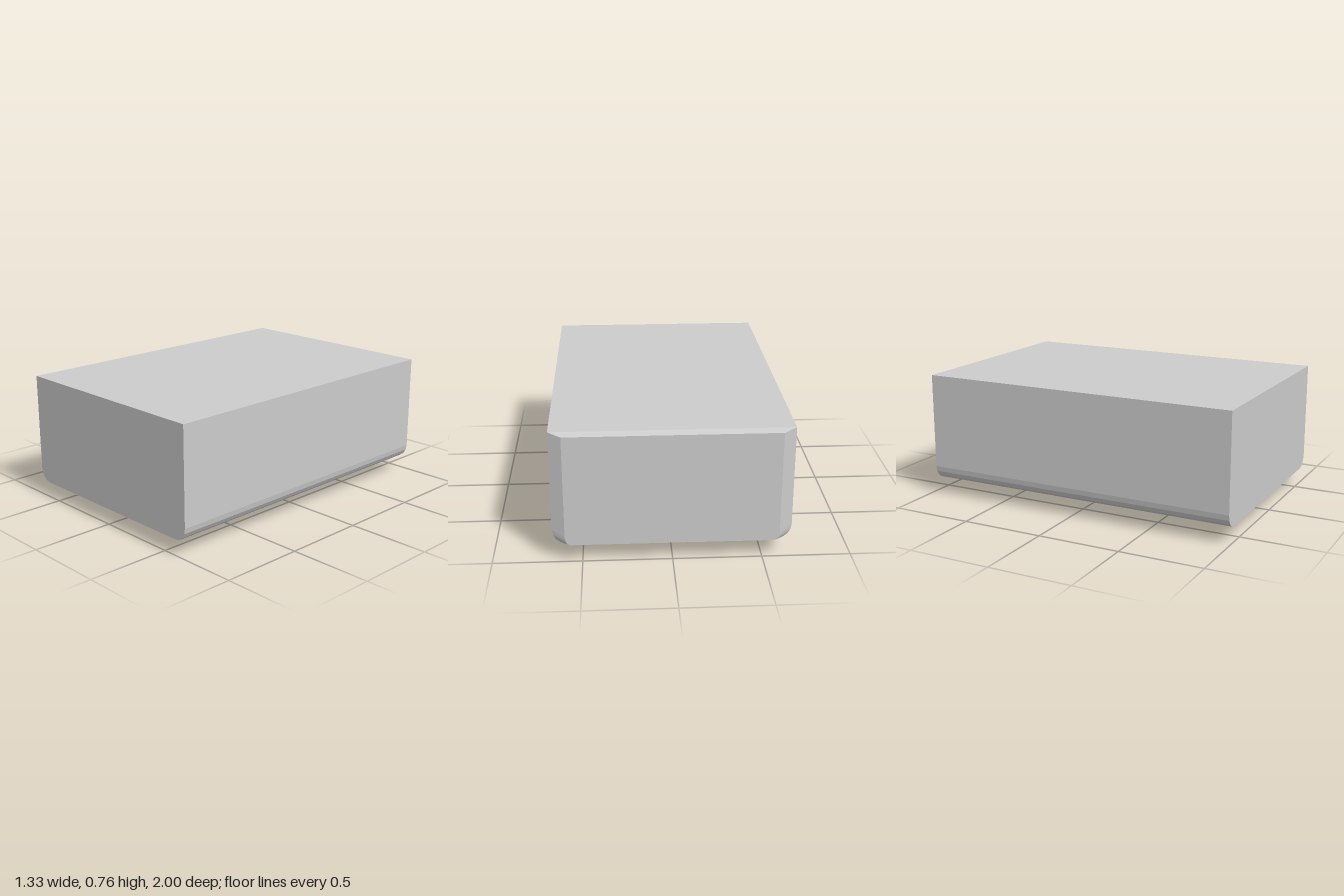
import * as THREE from 'three';
import { ConvexGeometry } from 'three/addons/geometries/ConvexGeometry.js';

const material = new THREE.MeshStandardMaterial({ color: 0xcccccc, flatShading: true });

// Rectangle outline at depth z with the two lower corners rounded
function section(z, halfWidth, bottom, top, rx, ry) {
  const points = [];
  for (const side of [-1, 1]) {
    points.push(new THREE.Vector3(side * halfWidth, top, z));
    for (let i = 0; i <= 4; i++) {
      const a = (i / 4) * Math.PI / 2;
      points.push(new THREE.Vector3(
        side * (halfWidth - rx + rx * Math.cos(a)),
        bottom + ry - ry * Math.sin(a),
        z
      ));
    }
  }
  return points;
}

export function createModel() {
  const model = new THREE.Group();
  model.name = 'block';

  // Main block, bevelled around its back end
  const body = new THREE.Mesh(new ConvexGeometry([
    ...section(1, 0.667, 0.095, 0.762, 0.075, 0.085),
    ...section(-0.96, 0.667, 0.095, 0.762, 0.075, 0.085),
    ...section(-1, 0.595, 0.101, 0.747, 0.03, 0.05),
  ]), material);
  body.name = 'body';
  model.add(body);

  // Two parallel rails underneath, drawn in side profile (z, y)
  const profile = new THREE.Shape([
    [0.245, 0.1], [-0.202, 0.1], [-0.175, 0], [0.22, 0], [0.245, 0.025],
  ].map(([z, y]) => new THREE.Vector2(z, y)));
  const railGeometry = new THREE.ExtrudeGeometry(profile, { depth: 0.051, bevelEnabled: false });
  railGeometry.rotateY(-Math.PI / 2);
  for (const [name, outer] of [['rightRail', -0.063], ['leftRail', 0.112]]) {
    const rail = new THREE.Mesh(railGeometry, material);
    rail.name = name;
    rail.position.x = outer;
    model.add(rail);
  }

  return model;
}
